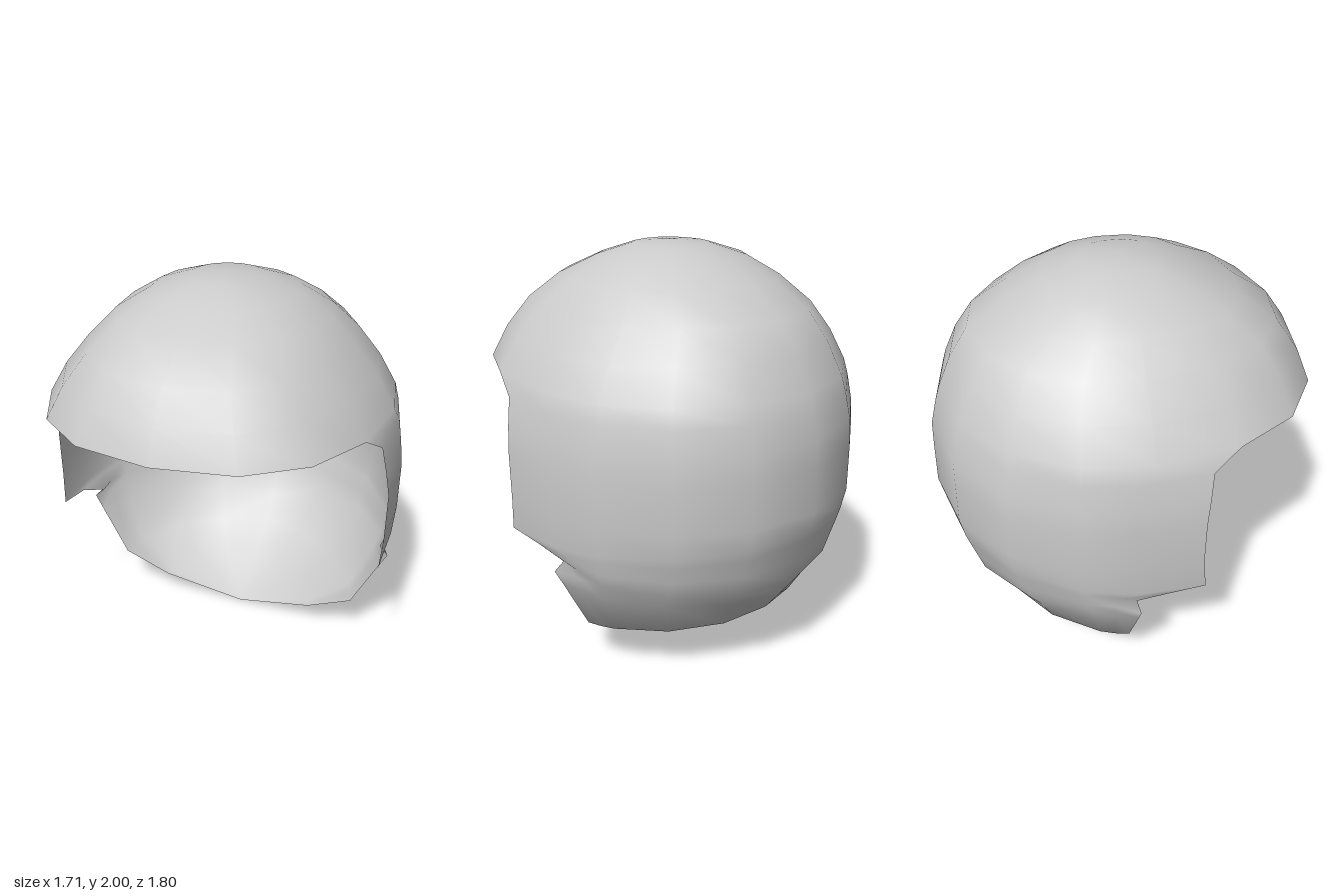
import * as THREE from 'three';

// Rows from crown to nape: [y, half width, front depth, back depth, rim z, rim x, y at the back]
// Rows without a rim go all the way round the head.
const ROWS = [
  [2, 0, 0.02, -0.02],
  [1.985, 0.17, 0.2, 0.17],
  [1.93, 0.34, 0.36, 0.34],
  [1.84, 0.49, 0.56, 0.5],
  [1.72, 0.605, 0.74, 0.68],
  [1.58, 0.72, 0.84, 0.77],
  [1.43, 0.81, 0.9, 0.835],
  [1.35, 0.83, 0.9, 0.86, 0.23, 0.815, 1.35],
  [1.22, 0.848, 0.9, 0.89, 0.215, 0.84, 1.23],
  [1.1, 0.86, 0.9, 0.895, 0.2, 0.857, 1.1],
  [0.87, 0.858, 0.9, 0.9, 0.2, 0.855, 0.89],
  [0.71, 0.845, 0.9, 0.88, 0.22, 0.845, 0.8],
  [0.69, 0.84, 0.9, 0.864, 0.04, 0.835, 0.74],
  [0.63, 0.825, 0.9, 0.833, -0.09, 0.79, 0.63],
  [0.59, 0.815, 0.9, 0.8, -0.08, 0.835, 0.51],
  [0.51, 0.785, 0.9, 0.724, -0.08, 0.792, 0.41],
  [0.25, 0.67, 0.9, 0.64, -0.09, 0.66, 0.3],
  [0.13, 0.445, 0.9, 0.44, -0.12, 0.42, 0.17],
  [0, 0, 0, 0.2, -0.2],
];
const COLS = 16, TEMPLE = 3, BACK = 8;
const FRONT_POWER = 2.35, TEMPLE_ANGLE = 0.348, BACK_STEP = Math.PI / 8;

// A point on the rounded-oval cross-section of one row; column 0 is the front centre
function ringPoint([y, a, f, b, rimZ, rimX, backY], col) {
  const side = col > BACK ? -1 : 1;
  const k = col > BACK ? COLS - col : col;
  const backPower = 1.8 + 0.25 * Math.min(1, y);
  let start = TEMPLE_ANGLE;
  if (rimZ !== undefined) {
    start = rimZ > 0 ? Math.asin((rimZ / f) ** (FRONT_POWER / 2))
      : -Math.asin((-rimZ / b) ** (backPower / 2));
  }
  let angle = (k - BACK) * -BACK_STEP - Math.PI / 2;
  if (k <= TEMPLE) angle = THREE.MathUtils.lerp(Math.PI / 2, start, k / TEMPLE);
  else if (k === TEMPLE + 1) angle = (start - BACK_STEP) / 2;
  const s = Math.sin(angle);
  const e = 2 / (s > 0 ? FRONT_POWER : backPower);
  let x = k === 0 || k === BACK ? 0 : a * Math.cos(angle) ** e;
  if (rimX !== undefined && k === TEMPLE) x = rimX;
  const z = s > 0 ? f * s ** e : -b * (-s) ** e;
  // Lower rows drift in height between the rim and the back
  const h = backY === undefined ? y : y + (backY - y) * (start - angle) / (start + Math.PI / 2);
  return [side * x, h, z];
}

function shellGeometry() {
  const positions = [], index = [], rows = [];
  for (const row of ROWS) {
    const open = row[4] !== undefined, pole = row[1] === 0;
    const first = open ? TEMPLE : 0, last = open ? COLS - TEMPLE : COLS - 1;
    const base = positions.length / 3;
    rows.push((c) => (pole ? base : base + (c % COLS) - first));
    if (pole) positions.push(0, row[0], open ? row[4] : row[2]);
    else for (let c = first; c <= last; c++) positions.push(...ringPoint(row, c));
  }
  for (let r = 0; r + 1 < ROWS.length; r++) {
    const open = ROWS[r + 1][4] !== undefined;
    const first = open ? TEMPLE : 0, end = open ? COLS - TEMPLE : COLS;
    for (let c = first; c < end; c++) {
      const a = rows[r](c), b = rows[r](c + 1), d = rows[r + 1](c), e = rows[r + 1](c + 1);
      if (d !== e) index.push(a, d, e);
      if (a !== b) index.push(a, e, b);
    }
  }
  const geometry = new THREE.BufferGeometry();
  geometry.setAttribute('position', new THREE.Float32BufferAttribute(positions, 3));
  geometry.setIndex(index);
  geometry.computeVertexNormals();
  return geometry;
}

export function createModel() {
  const group = new THREE.Group();
  group.name = 'hairCap';
  // Open thin shell: dome, temples, ear notches and rounded nape
  const shell = new THREE.Mesh(shellGeometry(),
    new THREE.MeshStandardMaterial({ color: 0xcccccc, side: THREE.DoubleSide }));
  shell.name = 'hairShell';
  group.add(shell);
  return group;
}
